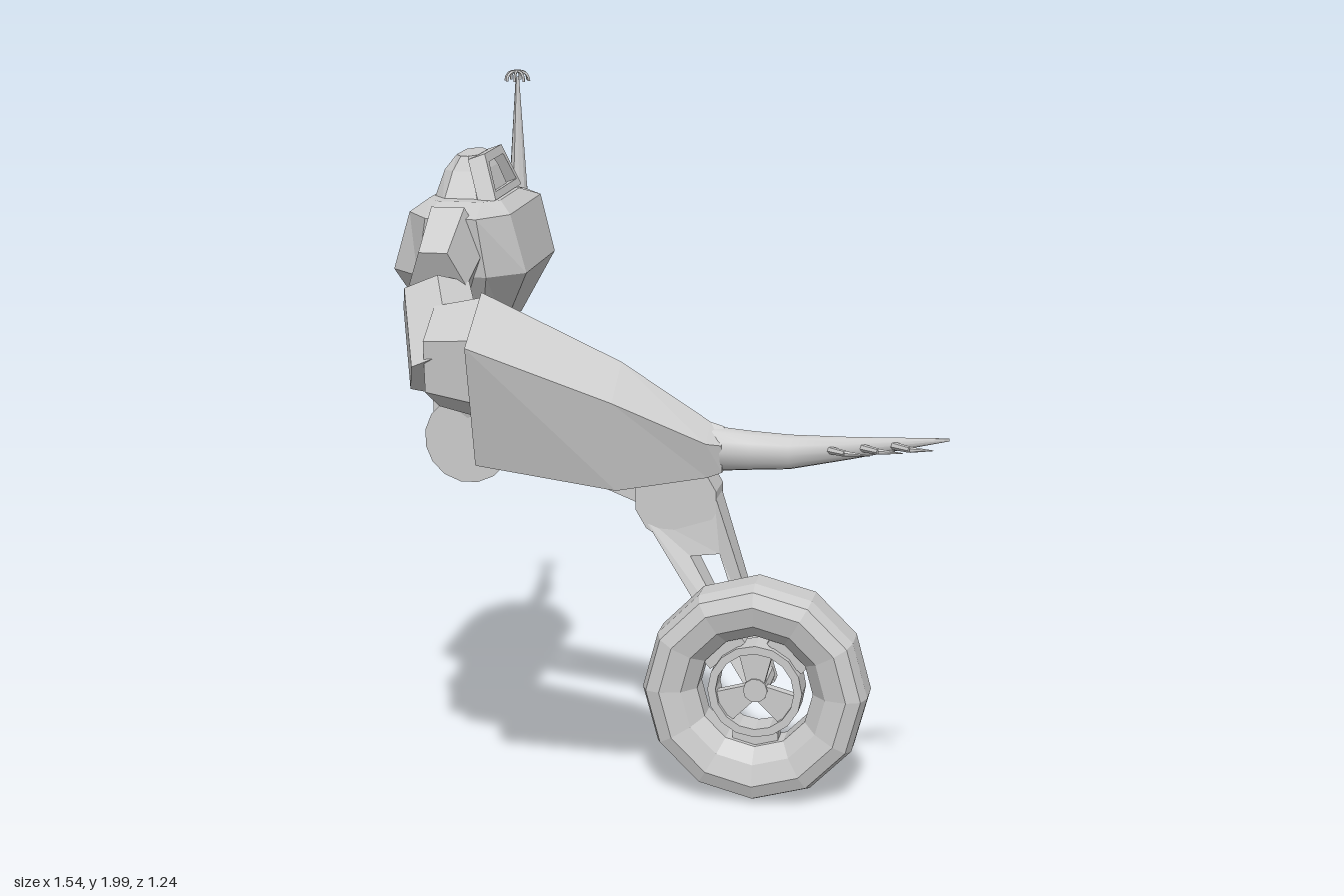
import * as THREE from 'three';
import { toCreasedNormals } from 'three/addons/utils/BufferGeometryUtils.js';

const flat = new THREE.MeshStandardMaterial({ color: 0xcccccc, flatShading: true });
const smooth = new THREE.MeshStandardMaterial({ color: 0xcccccc });
const V = (p) => new THREE.Vector3(...p);

// Skin a list of cross-sections (each a ring of [x,y,z]) and close both ends.
function loft(rings) {
  const tris = [], n = rings[0].length;
  for (let r = 0; r + 1 < rings.length; r++)
    for (let i = 0; i < n; i++) {
      const j = (i + 1) % n, a = rings[r], b = rings[r + 1];
      tris.push([a[i], a[j], b[j]], [a[i], b[j], b[i]]);
    }
  const first = rings[0], last = rings[rings.length - 1];
  for (let i = 1; i + 1 < n; i++)
    tris.push([first[0], first[i + 1], first[i]], [last[0], last[i], last[i + 1]]);
  // a negative volume means the faces point inwards
  const volume = tris.reduce((s, [a, b, c]) => s + V(a).dot(V(b).cross(V(c))), 0);
  if (volume < 0) tris.forEach((t) => t.reverse());
  const g = new THREE.BufferGeometry();
  g.setAttribute('position', new THREE.Float32BufferAttribute(tris.flat(2), 3));
  g.computeVertexNormals();
  return g;
}

// Horizontal rectangle with cut corners.
function octagon(y, x0, x1, z0, z1, cx, cz) {
  return [[x0 + cx, z0], [x1 - cx, z0], [x1, z0 + cz], [x1, z1 - cz],
    [x1 - cx, z1], [x0 + cx, z1], [x0, z1 - cz], [x0, z0 + cz]].map(([x, z]) => [x, y, z]);
}

// Ellipse: in the horizontal plane (axis 'y') or across the arm (axis 'x').
function ellipse(axis, [cx, cy, cz], r1, r2, n) {
  return Array.from({ length: n }, (_, i) => {
    const a = (i / n) * Math.PI * 2, c = Math.cos(a) * r1, s = Math.sin(a) * r2;
    return axis === 'y' ? [cx + c, cy, cz + s] : [cx, cy + c, cz + s];
  });
}

const polygon = (pts, Type = THREE.Shape) => new Type(pts.map((p) => new THREE.Vector2(...p)));
function plate(pts, hole, depth) {
  const s = polygon(pts);
  if (hole) s.holes.push(polygon(hole, THREE.Path));
  return new THREE.ExtrudeGeometry(s, { depth, bevelEnabled: false });
}

export function createModel() {
  const model = new THREE.Group();
  const add = (name, geo, mat = flat, parent = model) => {
    const m = new THREE.Mesh(geo, mat);
    m.name = name;
    parent.add(m);
    return m;
  };
  // Tapered block from a to b; sx and sz stretch its cross-section.
  const beam = (name, a, b, r0, r1, sides, sx = 1, sz = 1, parent = model) => {
    const A = V(a), B = V(b), d = B.clone().sub(A);
    const g = new THREE.CylinderGeometry(r1, r0, d.length(), sides);
    g.rotateY(Math.PI / sides);
    const m = add(name, g, flat, parent);
    m.scale.set(sx, 1, sz);
    m.quaternion.setFromUnitVectors(new THREE.Vector3(0, 1, 0), d.normalize());
    m.position.copy(A.add(B).multiplyScalar(0.5));
    return m;
  };

  // Torso, head and visor
  add('torso', loft([
    octagon(1.37, -0.69, -0.48, -0.24, 0.08, 0.05, 0.06),
    octagon(1.53, -0.77, -0.40, -0.345, 0.185, 0.09, 0.09),
    octagon(1.69, -0.72, -0.44, -0.36, 0.205, 0.07, 0.1),
    octagon(1.72, -0.68, -0.48, -0.22, 0.1, 0.04, 0.05),
  ]));
  add('head', loft([
    octagon(1.70, -0.68, -0.50, -0.215, 0.06, 0.04, 0.05),
    octagon(1.79, -0.65, -0.535, -0.18, 0.02, 0.03, 0.03),
    octagon(1.83, -0.62, -0.56, -0.165, 0.005, 0.02, 0.03),
  ]));
  const visor = add('visorFrame', plate(
    [[-0.15, 0], [0.15, 0], [0.095, 0.125], [-0.095, 0.125]],
    [[-0.12, 0.02], [-0.08, 0.1], [0.08, 0.1], [0.12, 0.02]], 0.05));
  visor.rotation.set(-0.35, Math.PI / 2, 0, 'YXZ');
  visor.position.set(-0.535, 1.705, -0.08);

  // Waist with two prongs holding the hip discs
  add('waist', toCreasedNormals(loft([
    ellipse('y', [-0.59, 1.1, -0.073], 0.1, 0.095, 16),
    ellipse('y', [-0.59, 1.2, -0.075], 0.11, 0.125, 16),
    ellipse('y', [-0.585, 1.3, -0.077], 0.115, 0.15, 16),
    ellipse('y', [-0.585, 1.42, -0.078], 0.115, 0.15, 16),
  ]), 0.7), smooth);
  const disc = (name, x, y, z0, z1, r0, r1 = r0, sides = 16) =>
    beam(name, [x, y, z0], [x, y, z1], r0, r1, sides);
  for (const z of [0.022, -0.012, -0.117, -0.147]) disc('hipDisc', -0.59, 1.04, z, z - 0.022, 0.125);
  for (const z of [-0.008, -0.14]) {
    const b = add('waistProng', new THREE.BoxGeometry(0.2, 0.16, 0.05));
    b.position.set(-0.59, 1.12, z);
  }
  disc('hipAxle', -0.59, 1.055, 0, -0.24, 0.045);
  disc('hipFlange', -0.59, 1.045, -0.235, -0.3, 0.07, 0.1);

  // Leg
  add('upperLeg', plate(
    [[-0.69, 1.0], [-0.1, 0.765], [-0.05, 0.925], [-0.57, 1.2]],
    [[-0.5, 0.98], [-0.45, 1.09], [-0.13, 0.925], [-0.155, 0.86]], 0.085)).position.z = -0.375;
  disc('knee', -0.055, 0.81, -0.268, -0.388, 0.122, 0.122, 12);
  const shin = plate(
    [[-0.16, 0.77], [0.18, 0.27], [0.25, 0.31], [0.055, 0.84]],
    [[-0.01, 0.65], [0.075, 0.66], [0.175, 0.4], [0.15, 0.39]], 1);
  const p = shin.attributes.position;
  // the shin leans in and thins towards the wheel
  for (let i = 0; i < p.count; i++) {
    const t = THREE.MathUtils.clamp((p.getY(i) - 0.28) / 0.45, 0, 1);
    const back = THREE.MathUtils.lerp(-0.225, -0.385, t), front = THREE.MathUtils.lerp(-0.17, -0.275, t);
    p.setZ(i, THREE.MathUtils.lerp(back, front, p.getZ(i)));
  }
  shin.computeVertexNormals();
  add('shin', shin);

  // Wheel
  const wheel = new THREE.Group();
  wheel.name = 'wheel';
  wheel.position.set(0.213, 0.326, -0.08);
  model.add(wheel);
  const ring = (name, profile, sides) => add(name, new THREE.LatheGeometry(
    profile.map((q) => new THREE.Vector2(...q)), sides).rotateX(Math.PI / 2), flat, wheel);
  ring('tyre', [[0.165, -0.04], [0.205, -0.085], [0.265, -0.1], [0.305, -0.085], [0.32, -0.045],
    [0.32, 0.045], [0.305, 0.085], [0.265, 0.1], [0.205, 0.085], [0.165, 0.04], [0.165, -0.04]], 12);
  ring('hubRing', [[0.112, -0.045], [0.135, -0.045], [0.135, 0.045], [0.112, 0.045], [0.112, -0.045]], 16);
  for (const deg of [270, 50, 130]) {
    const s = add('spoke', new THREE.BoxGeometry(0.06, 0.13, 0.05).translate(0.155, 0, 0), flat, wheel);
    s.rotation.z = THREE.MathUtils.degToRad(deg);
  }
  for (let i = 0; i < 3; i++) {
    const b = add('hubBlade', plate([[0, -0.02], [0.115, -0.05], [0.115, 0.05], [0, 0.02]], null, 0.03), flat, wheel);
    b.rotation.z = Math.PI / 2 + (i * Math.PI * 2) / 3;
  }
  beam('axle', [0, 0, -0.12], [0, 0, 0.035], 0.035, 0.035, 10, 1, 1, wheel);

  // Left arm
  beam('shoulder', [-0.59, 1.61, 0.14], [-0.59, 1.53, 0.31], 0.14, 0.12, 6, 0.65, 1);
  beam('upperArm', [-0.6, 1.5, 0.29], [-0.53, 1.32, 0.44], 0.1, 0.115, 6);
  beam('elbow', [-0.57, 1.36, 0.41], [-0.43, 1.36, 0.42], 0.13, 0.16, 6, 1.05, 0.9);
  const section = (x, top, side, bottom, out, inn, bOut, bIn) =>
    [[x, top, 0.435], [x, side, out], [x, bottom, bOut], [x, bottom, bIn], [x, side, inn]];
  add('forearm', loft([
    section(-0.44, 1.54, 1.43, 1.10, 0.62, 0.245, 0.53, 0.31),
    section(-0.07, 1.37, 1.29, 1.047, 0.57, 0.29, 0.52, 0.33),
    section(0.165, 1.22, 1.18, 1.085, 0.515, 0.38, 0.49, 0.395),
    section(0.2, 1.21, 1.17, 1.095, 0.485, 0.385, 0.47, 0.4),
  ]));
  add('hand', toCreasedNormals(loft([
    ellipse('x', [0.17, 1.15, 0.435], 0.06, 0.055, 12),
    ellipse('x', [0.27, 1.148, 0.43], 0.052, 0.042, 12),
    ellipse('x', [0.37, 1.147, 0.425], 0.046, 0.036, 12),
    ellipse('x', [0.52, 1.15, 0.37], 0.03, 0.022, 12),
    ellipse('x', [0.768, 1.157, 0.264], 0.004, 0.004, 12),
  ]), 0.7), smooth);
  [[0.46, 0.4], [0.545, 0.365], [0.625, 0.33]].forEach(([x, z], i) => {
    const len = 0.12 - i * 0.005, knuckle = [x + len * 0.45, 1.152, z + 0.038];
    beam('thorn', [x, 1.152, z], knuckle, 0.011, 0.008, 6);
    beam('thornTip', knuckle, [x + len, 1.152, z + 0.05 - i * 0.006], 0.008, 0.001, 6);
  });

  // Mast on the right side, crowned by small curved hooks
  const bend = new THREE.CurvePath();
  bend.add(new THREE.LineCurve3(V([-0.58, 1.588, -0.3]), V([-0.58, 1.588, -0.52])));
  bend.add(new THREE.QuadraticBezierCurve3(V([-0.58, 1.588, -0.52]), V([-0.58, 1.588, -0.575]), V([-0.58, 1.66, -0.576])));
  add('mastArm', new THREE.TubeGeometry(bend, 24, 0.027, 10), smooth);
  beam('mast', [-0.58, 1.655, -0.576], [-0.58, 1.98, -0.583], 0.027, 0.005, 10);
  for (let i = 0; i < 8; i++) {
    const hook = new THREE.QuadraticBezierCurve3(V([0, 0.028, 0]), V([0.034, 0.03, 0]), V([0.035, 0, 0]));
    const m = add('mastHook', new THREE.TubeGeometry(hook, 6, 0.004, 5), smooth);
    m.position.set(-0.58, 1.968, -0.583);
    m.rotation.y = (i * Math.PI) / 4;
  }
  return model;
}
